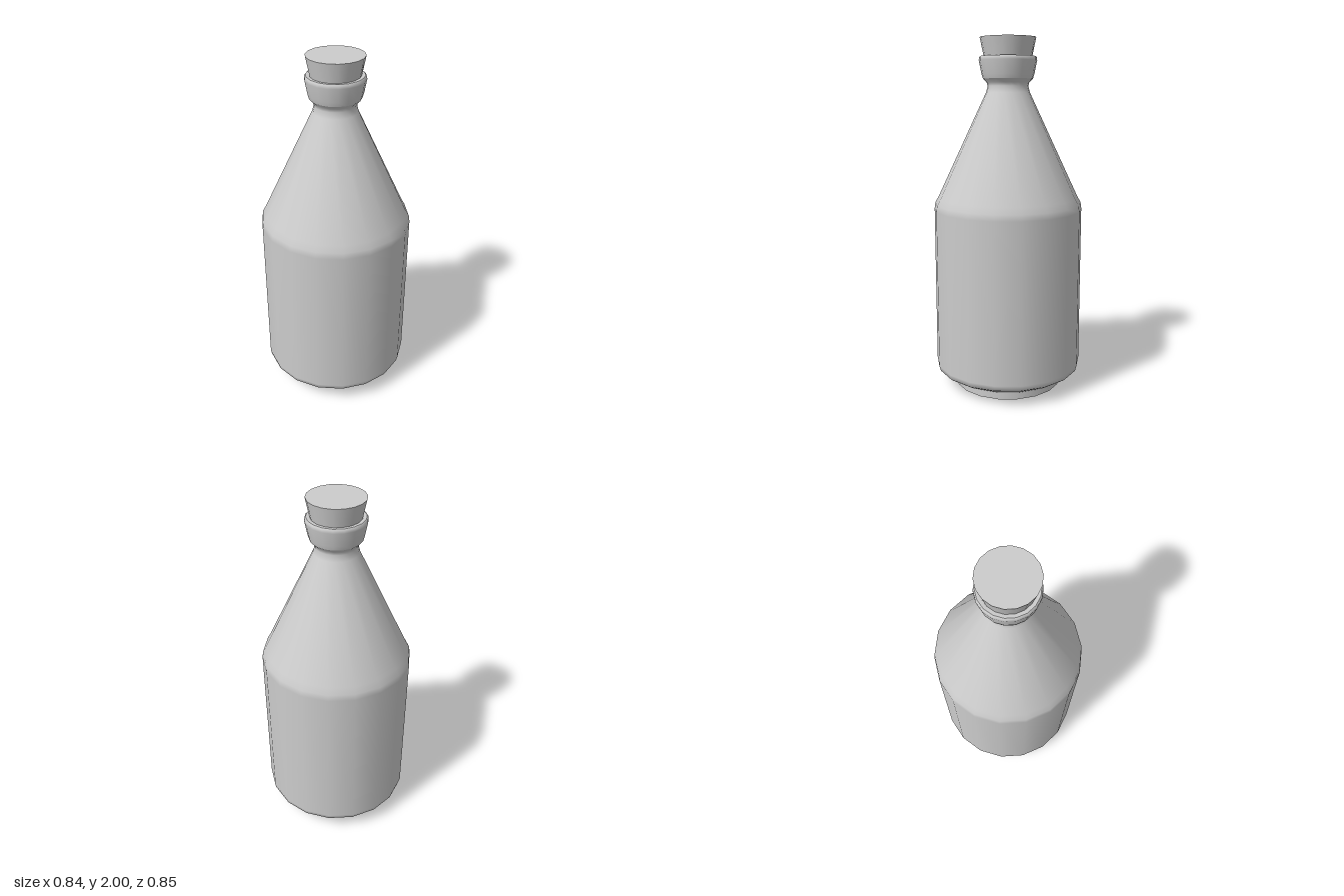
import * as THREE from 'three';

const SIDES = 18;

export function createModel() {
  const group = new THREE.Group();
  const grey = new THREE.MeshStandardMaterial({ color: 0xcccccc });
  grey.name = 'light grey';

  // Turn a [radius, height] profile, listed from bottom to top, around y.
  const turn = (name, profile) => {
    const points = profile.map(([r, y]) => new THREE.Vector2(r, y));
    const mesh = new THREE.Mesh(new THREE.LatheGeometry(points, SIDES), grey);
    mesh.name = name;
    group.add(mesh);
  };

  // Foot: flat underside and short upright ring
  turn('footBase', [[0, 0], [0.31, 0]]);
  turn('footRing', [[0.31, 0], [0.31, 0.04]]);

  // Body with chamfered base, rounded shoulder and conical neck
  turn('body', [
    [0.31, 0.04], [0.395, 0.085], [0.417, 0.1], [0.425, 0.13],
    [0.425, 1.04], [0.42, 1.075], [0.4, 1.11],
    [0.123, 1.7], [0.114, 1.735], [0.12, 1.755], [0.14, 1.775],
  ]);

  // Flared lip around the mouth
  turn('lip', [
    [0.14, 1.775], [0.148, 1.8], [0.163, 1.875], [0.162, 1.89], [0.155, 1.897],
  ]);
  turn('lipRim', [[0.155, 1.897], [0.13, 1.895]]);

  // Tapered stopper
  turn('stopperSide', [[0.132, 1.88], [0.157, 2]]);
  turn('stopperTop', [[0.157, 2], [0, 2]]);

  return group;
}
